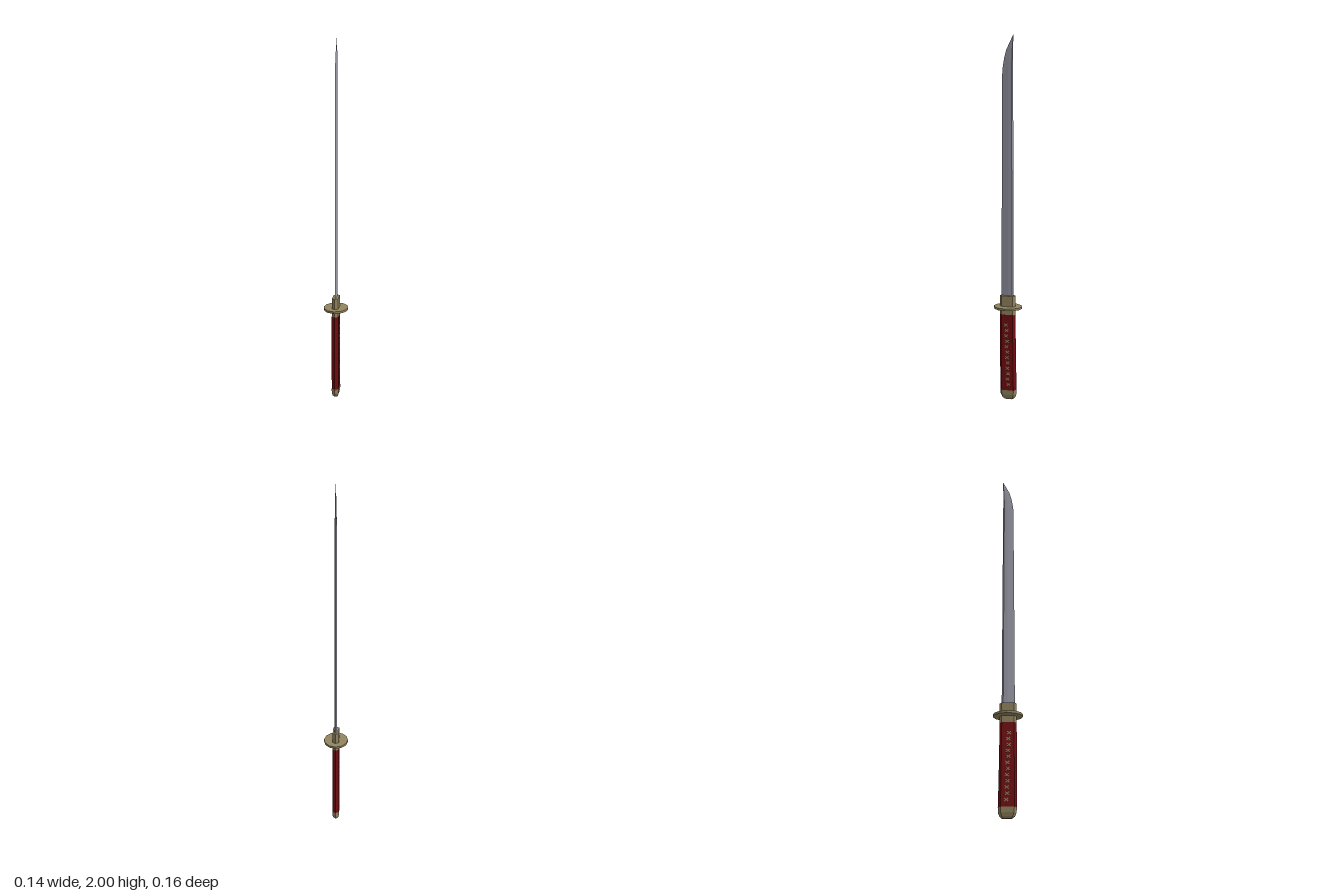
import * as THREE from 'three';

const material = (name, color) => {
  const m = new THREE.MeshStandardMaterial({ color, flatShading: true });
  m.name = name;
  return m;
};

// Closed solid through matching cross-sections, listed bottom to top,
// each running counter-clockwise as seen from above.
function loft(rings) {
  const n = rings[0].length;
  const last = (rings.length - 1) * n;
  const index = [];
  for (let i = 0; i < rings.length - 1; i++) {
    for (let j = 0; j < n; j++) {
      const a = i * n + j, b = i * n + (j + 1) % n;
      index.push(a, b, b + n, a, b + n, a + n);
    }
  }
  for (let j = 1; j < n - 1; j++) {
    index.push(0, j + 1, j, last, last + j, last + j + 1);
  }
  const g = new THREE.BufferGeometry();
  g.setAttribute('position', new THREE.Float32BufferAttribute(rings.flat(2), 3));
  g.setIndex(index);
  const flat = g.toNonIndexed();
  flat.computeVertexNormals();
  return flat;
}

// Long hexagon used by the grip, collar and pommel
const hexRing = (y, w, front, back) => [
  [w, y, front * 0.72], [w, y, back * 0.72], [0, y, back],
  [-w, y, back * 0.72], [-w, y, front * 0.72], [0, y, front],
];

// Single-edged section: edge towards +z, ridged spine towards -z
const bladeRing = (y, t, edge, spine) => {
  const ridge = spine + (edge - spine) * 0.45;
  return [
    [0, y, edge], [t * 0.8, y, ridge], [t, y, spine + (edge - spine) * 0.12],
    [0, y, spine], [-t, y, spine + (edge - spine) * 0.12], [-t * 0.8, y, ridge],
  ];
};

export function createModel() {
  const group = new THREE.Group();
  const steel = material('steel', 0x9a9aa8);
  const brass = material('brass', 0x938660);
  const red = material('red grip', 0x740c10);
  const olive = material('olive ornament', 0x8a8c62);

  const add = (name, geometry, mat, parent = group) => {
    const mesh = new THREE.Mesh(geometry, mat);
    mesh.name = name;
    parent.add(mesh);
    return mesh;
  };

  // Blade with a clipped, slightly curved point
  add('blade', loft([
    bladeRing(0.58, 0.006, 0.036, -0.033),
    bladeRing(1.4, 0.0055, 0.034, -0.03),
    bladeRing(1.82, 0.005, 0.031, -0.028),
    bladeRing(1.88, 0.004, 0.021, -0.028),
    bladeRing(1.925, 0.003, 0.009, -0.028),
    bladeRing(2.0, 0.0005, -0.028, -0.0295),
  ]), steel);

  // Collar passing through the guard
  add('collar', loft([
    hexRing(0.49, 0.018, 0.045, -0.044),
    hexRing(0.597, 0.017, 0.045, -0.044),
  ]), brass);

  // Twelve-sided oval guard
  const guard = new THREE.CylinderGeometry(1, 1, 0.012, 12);
  guard.scale(0.068, 1, 0.079);
  add('guard', guard, brass).position.y = 0.531;

  // Grip, leaning slightly back towards the pommel
  add('grip', loft([
    hexRing(0.05, 0.019, 0.044, -0.05),
    hexRing(0.27, 0.019, 0.045, -0.046),
    hexRing(0.491, 0.019, 0.045, -0.043),
  ]), red);

  // Rounded pommel cap
  add('pommel', loft([
    hexRing(0.002, 0.009, 0.02, -0.03),
    hexRing(0.012, 0.015, 0.034, -0.042),
    hexRing(0.03, 0.019, 0.042, -0.049),
    hexRing(0.057, 0.0195, 0.0445, -0.0505),
  ]), brass);

  // Row of small crossed ornaments on both sides of the grip
  const ornaments = new THREE.Group();
  ornaments.name = 'gripOrnaments';
  group.add(ornaments);
  const petal = new THREE.BoxGeometry(0.002, 0.025, 0.005);
  for (const side of [-1, 1]) {
    for (let i = 0; i < 12; i++) {
      const y = 0.092 + i * 0.031;
      const z = -0.006 + i * 0.001 + (i % 2 ? 0.002 : -0.002);
      for (const angle of [-0.9, 0.9]) {
        const p = add('ornamentPetal', petal, olive, ornaments);
        p.position.set(side * 0.0192, y, z);
        p.rotation.x = angle;
      }
    }
  }
  return group;
}
